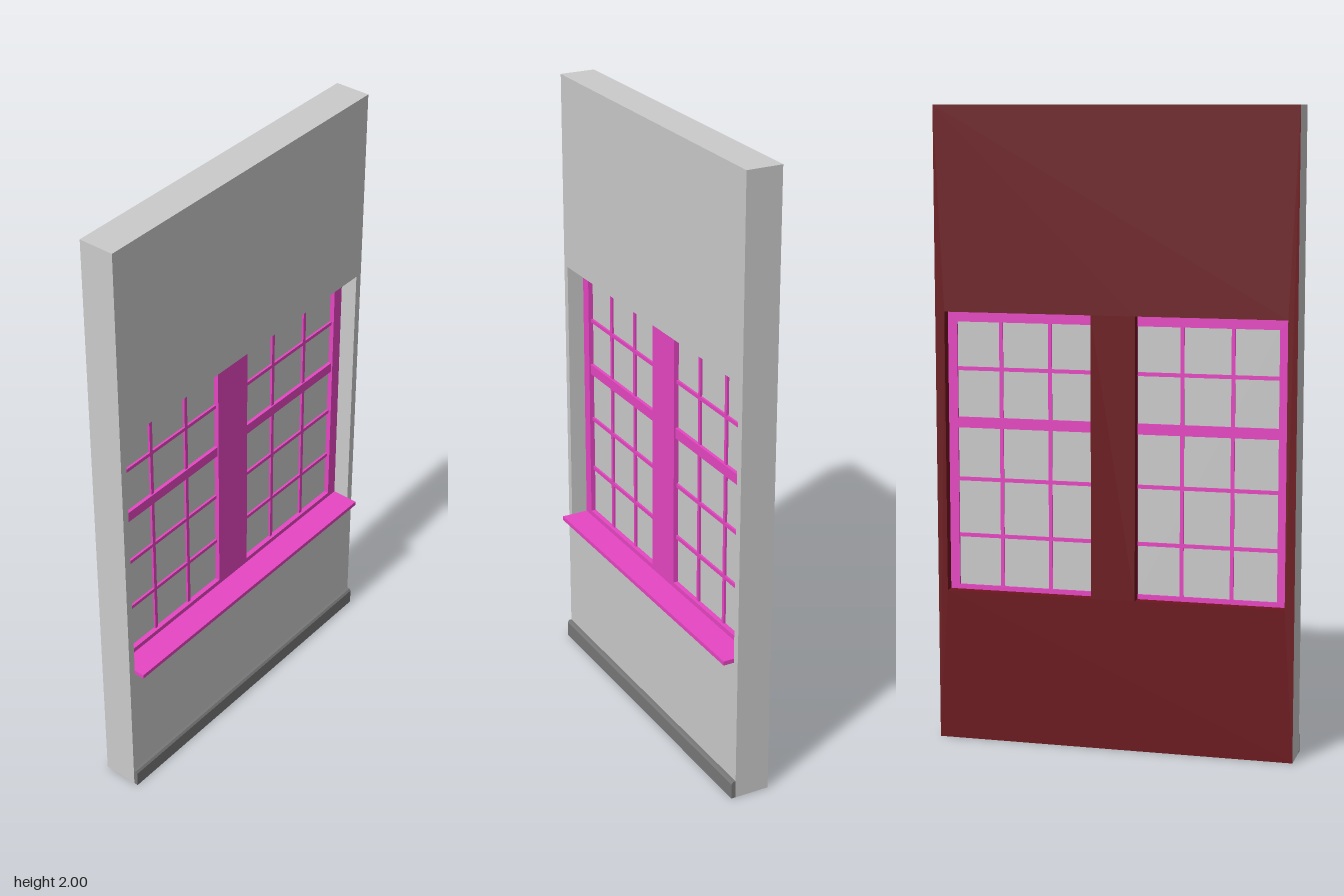
import * as THREE from 'three';

const material = (color) => new THREE.MeshStandardMaterial({ color, side: THREE.DoubleSide });

function rect(Type, x0, x1, y0, y1) {
  const r = new Type();
  r.moveTo(x0, y0).lineTo(x1, y0).lineTo(x1, y1).lineTo(x0, y1).closePath();
  return r;
}

// Flat slab with rectangular holes, between two depths
function slab(outer, holes, z0, z1) {
  const shape = rect(THREE.Shape, ...outer);
  shape.holes = holes.map((h) => rect(THREE.Path, ...h));
  return new THREE.ExtrudeGeometry(shape, { depth: z1 - z0, bevelEnabled: false }).translate(0, 0, z0);
}

export function createModel() {
  const model = new THREE.Group();
  const grey = material(0xcccccc);
  const pink = material(0xe746c3);
  const red = material(0x6c161c);
  const dark = material(0x787878);

  const add = (name, geometry, mat, parent = model) => {
    const mesh = new THREE.Mesh(geometry, mat);
    mesh.name = name;
    parent.add(mesh);
    return mesh;
  };
  const box = (name, [x0, x1], [y0, y1], [z0, z1], mat, parent) =>
    add(name, new THREE.BoxGeometry(x1 - x0, y1 - y0, z1 - z0)
      .translate((x0 + x1) / 2, (y0 + y1) / 2, (z0 + z1) / 2), mat, parent);

  const wall = [-0.57, 0.57, 0, 2];
  const zBack = -0.075, zStep = -0.042, zFront = 0.04;

  // Front layer of the wall: one wide opening
  add('wallFront', slab(wall, [[-0.547, 0.547, 0.475, 1.37]], zStep, zFront), grey);

  // Back layer: two openings, red face and reveals, grey outer edges
  const back = slab(wall, [[-0.54, -0.07, 0.48, 1.365], [0.07, 0.54, 0.48, 1.365]], zBack, zStep);
  const { start, count } = back.groups[1];
  back.clearGroups();
  back.addGroup(0, start, 0);
  back.addGroup(start, 24, 1);
  back.addGroup(start + 24, count - 24, 0);
  add('wallBack', back, [red, grey]);

  // Window frame with a wide centre mullion
  add('windowFrame', slab([-0.547, 0.547, 0.475, 1.37],
    [[-0.51, -0.07, 0.495, 1.332], [0.07, 0.51, 0.495, 1.332]], zStep, -0.015), pink);

  // Glass and bars of each window
  for (const side of [-1, 1]) {
    const window = new THREE.Group();
    window.name = side < 0 ? 'rightWindow' : 'leftWindow';
    model.add(window);
    const span = side < 0 ? [-0.51, -0.07] : [0.07, 0.51];
    box('glass', span, [0.495, 1.332], [-0.036, -0.031], grey, window);
    box('meetingRail', span, [0.998, 1.032], [-0.041, -0.02], pink, window);
    for (const y of [0.655, 0.835, 1.185])
      box('horizontalBar', span, [y - 0.006, y + 0.006], [-0.04, -0.024], pink, window);
    for (const x of [0.21, 0.368])
      box('verticalBar', [side * x - 0.006, side * x + 0.006], [0.495, 1.332], [-0.04, -0.024], pink, window);
  }

  // Sill
  box('sill', [-0.547, 0.547], [0.465, 0.479], [-0.02, 0.075], pink);

  // Skirting board with a chamfered top edge
  const profile = new THREE.Shape([[0, 0], [0.014, 0], [0.014, 0.05], [0.009, 0.058], [0, 0.058]]
    .map(([z, y]) => new THREE.Vector2(-z, y)));
  const skirting = new THREE.ExtrudeGeometry(profile, { depth: 1.14, bevelEnabled: false });
  skirting.rotateY(Math.PI / 2).translate(-0.57, 0, zFront);
  add('skirtingBoard', skirting, dark);

  return model;
}
